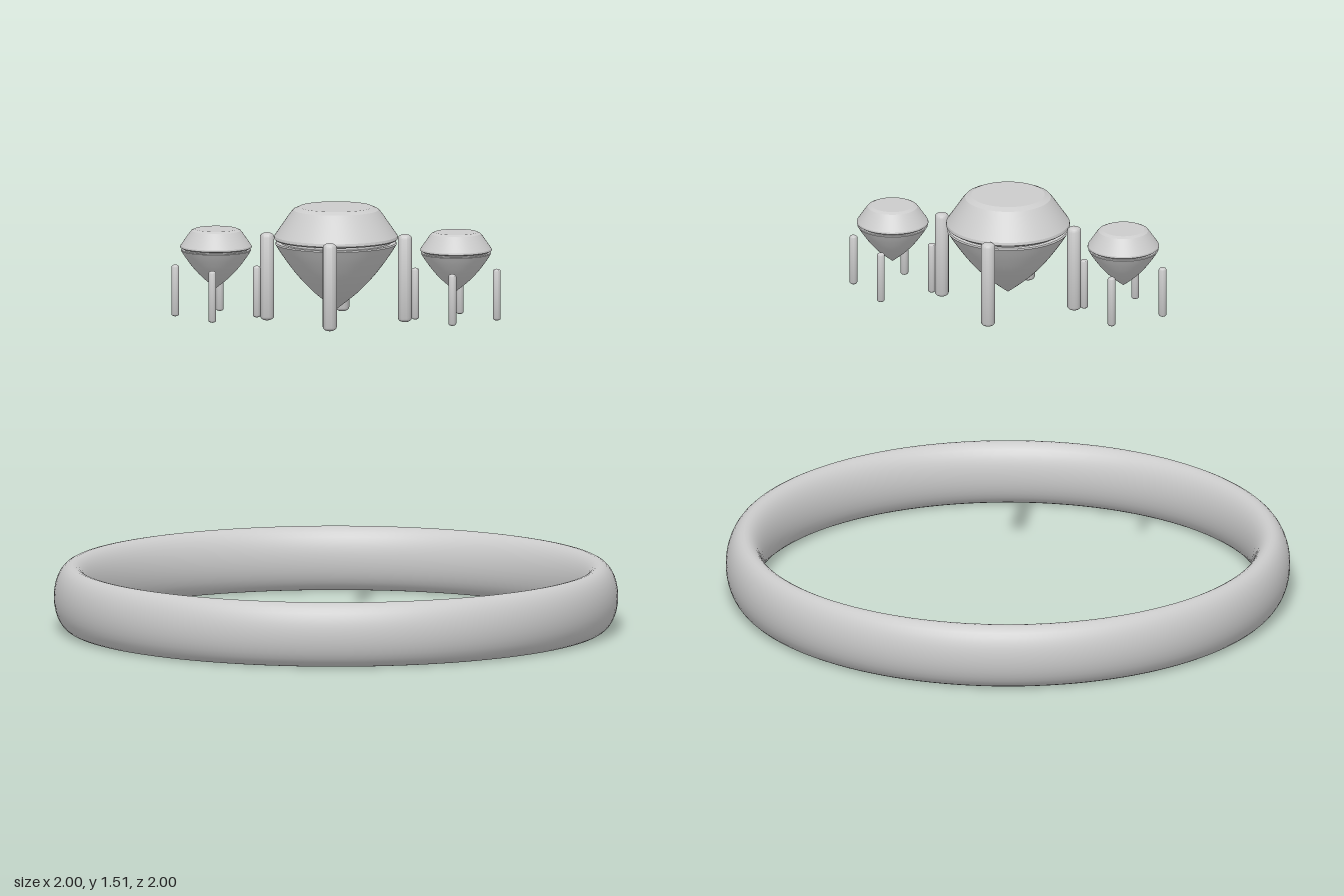
import * as THREE from 'three';
import { toCreasedNormals } from 'three/addons/utils/BufferGeometryUtils.js';

const material = new THREE.MeshStandardMaterial({ color: 0xcccccc });
const v = (x, y) => new THREE.Vector2(x, y);

function lathe(name, points, segments, crease = 0.4) {
  const geometry = toCreasedNormals(new THREE.LatheGeometry(points, segments), crease);
  const mesh = new THREE.Mesh(geometry, material);
  mesh.name = name;
  return mesh;
}

// Round stone with its girdle at y = 0 and a girdle radius of 0.22
function makeStone(name) {
  const stone = new THREE.Group();
  stone.name = name;

  const crown = lathe('crown', [
    v(0, 0), v(0.214, 0), v(0.22, 0.005), v(0.218, 0.015), v(0.165, 0.092),
    v(0.152, 0.108), v(0.13, 0.118), v(0, 0.118),
  ], 64);

  // Pavilion bulges gently from the point up to a flat rim
  const curve = new THREE.SplineCurve([
    v(0, -0.25), v(0.075, -0.19), v(0.135, -0.128), v(0.185, -0.062), v(0.216, -0.014),
  ]);
  const pavilion = lathe('pavilion', [...curve.getPoints(16), v(0.212, -0.01), v(0, -0.01)], 64);

  // Narrow recessed neck between crown and pavilion
  const girdle = new THREE.Mesh(new THREE.CylinderGeometry(0.195, 0.195, 0.014, 64, 1, true), material);
  girdle.name = 'girdle';
  girdle.position.y = -0.005;

  stone.add(crown, pavilion, girdle);
  return stone;
}

// Upright pin with softly rounded ends, standing on y = 0
function makeProng(radius, height) {
  const cap = radius * 0.6;
  const points = [];
  for (let i = 0; i <= 6; i++) {
    const a = (i / 6) * Math.PI / 2;
    points.push(v(radius * Math.sin(a), cap * (1 - Math.cos(a))));
  }
  const top = points.map((p) => v(p.x, height - p.y)).reverse();
  return lathe('prong', [...points, ...top], 16, 0.6);
}

// Stone surrounded by four prongs
function makeSetting(name, o) {
  const setting = new THREE.Group();
  setting.name = name;
  setting.position.x = o.x;

  const stone = makeStone('stone');
  stone.scale.setScalar(o.scale);
  stone.position.y = o.girdleY;
  setting.add(stone);

  for (let i = 0; i < 4; i++) {
    const a = i * Math.PI / 2;
    const prong = makeProng(o.prongRadius, o.prongTop - o.prongBottom);
    prong.position.set(o.spread * Math.cos(a), o.prongBottom, o.spread * Math.sin(a));
    setting.add(prong);
  }
  return setting;
}

export function createModel() {
  const model = new THREE.Group();
  model.name = 'threeStoneRing';

  // Band: tall elliptical section swept round the y axis
  const band = new THREE.Mesh(new THREE.TorusGeometry(0.935, 0.065, 32, 128), material);
  band.name = 'band';
  band.geometry.rotateX(Math.PI / 2);
  band.geometry.scale(1, 0.115 / 0.065, 1);
  band.position.y = 0.115;
  model.add(band);

  model.add(makeSetting('centreSetting', {
    x: 0, scale: 1, girdleY: 1.392, spread: 0.245,
    prongRadius: 0.025, prongBottom: 1.1, prongTop: 1.415,
  }));

  for (const side of [1, -1]) {
    model.add(makeSetting(side > 0 ? 'leftSetting' : 'rightSetting', {
      x: side * 0.427, scale: 0.577, girdleY: 1.357, spread: 0.145,
      prongRadius: 0.014, prongBottom: 1.11, prongTop: 1.295,
    }));
  }
  return model;
}
